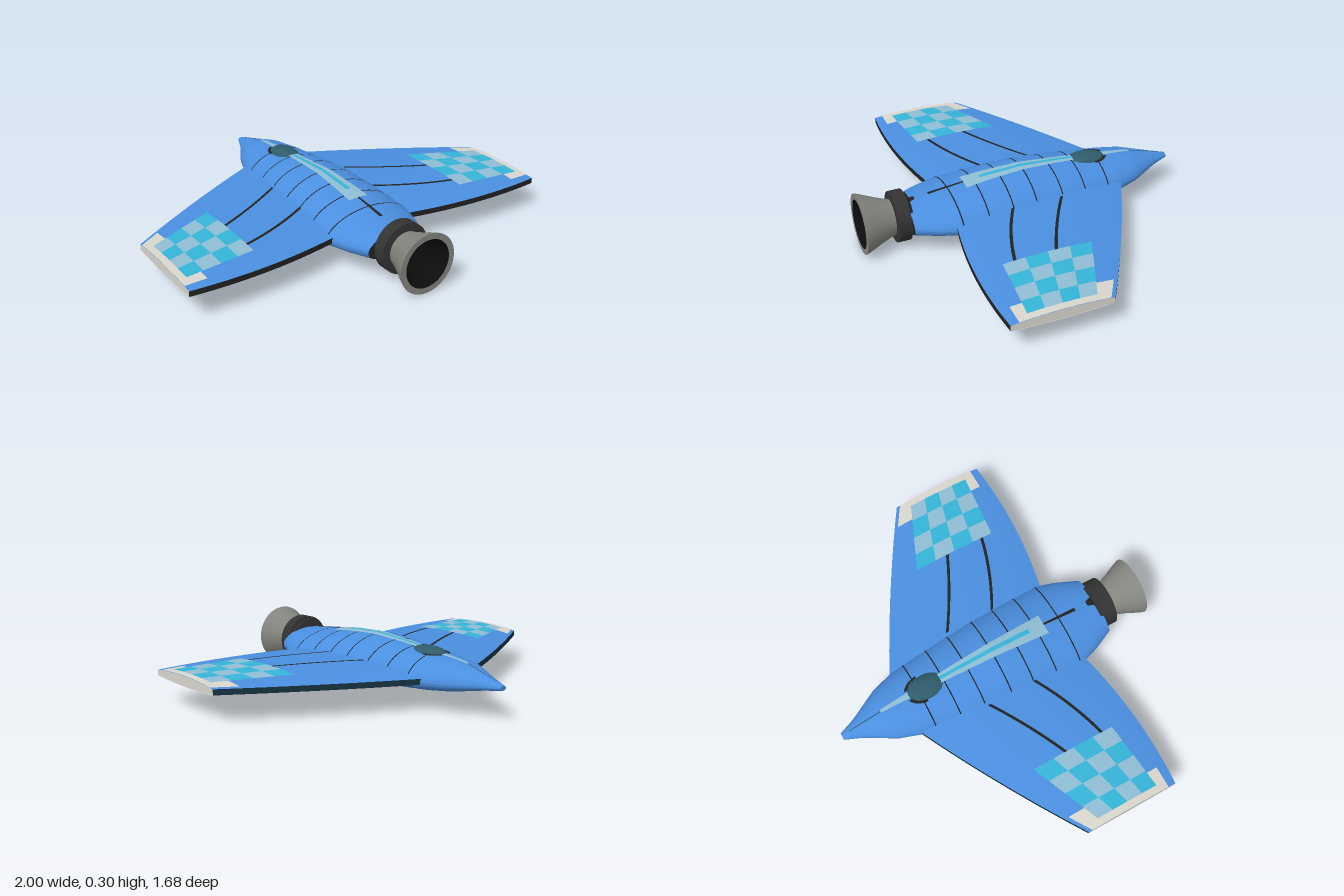
import * as THREE from 'three';

const { lerp, clamp } = THREE.MathUtils;
const BLUE = 0x4a8fe0, CYAN = 0x35b4d8, PALE = 0x8fbdd4, WHITE = 0xd8d6cc, DARK = 0x222222, TEAL = 0x2f5b6a;

// Fuselage stations: z, half width, top, widest height, bottom
const STATIONS = [
  [-0.84, 0.018, 0.172, 0.160, 0.148], [-0.75, 0.055, 0.197, 0.158, 0.134], [-0.6, 0.14, 0.236, 0.152, 0.105],
  [-0.48, 0.18, 0.248, 0.147, 0.092], [-0.2, 0.222, 0.271, 0.142, 0.070], [0, 0.24, 0.283, 0.14, 0.062],
  [0.2, 0.246, 0.272, 0.14, 0.068], [0.4, 0.242, 0.250, 0.142, 0.080], [0.5, 0.21, 0.238, 0.146, 0.085],
  [0.61, 0.16, 0.224, 0.15, 0.092],
];

function station(z) {
  let i = 0;
  while (i < STATIONS.length - 2 && z > STATIONS[i + 1][0]) i++;
  const a = STATIONS[i], b = STATIONS[i + 1];
  const t = clamp((z - a[0]) / (b[0] - a[0]), 0, 1);
  return a.map((v, k) => lerp(v, b[k], t));
}

function hullPoint(z, angle, grow = 0) {
  const [, w, top, mid, bot] = station(z);
  const c = Math.cos(angle), s = Math.sin(angle);
  const px = s > 0 ? 1 : 0.8;
  const x = (w + grow) * Math.sign(c) * Math.abs(c) ** px;
  const y = s > 0 ? mid + (top - mid + grow) * s ** 1.15 : mid - (mid - bot + grow) * Math.abs(s) ** 0.8;
  return [x, y, z];
}

function hullY(x, z, side, lift) {
  const [, w, top, mid, bot] = station(z);
  const c = Math.min(1, Math.abs(x) / w) ** (side > 0 ? 1 : 1.25);
  const s = Math.sqrt(1 - c * c);
  return side > 0 ? mid + (top - mid) * s ** 1.15 + lift : mid - (mid - bot) * s ** 0.8 - lift;
}

// Wing outline and airfoil
const span = x => (x - 0.18) / 0.82;
const leading = x => lerp(-0.485, -0.02, span(x)) - 0.06 * span(x) * (1 - span(x));
const trailing = x => 0.41 + 0.2 * span(x) - 0.14 * span(x) ** 2;
function wingY(x, z, side, lift = 0) {
  const s = clamp((z - leading(x)) / (trailing(x) - leading(x)), 0, 1);
  const bulge = Math.sin(Math.PI * s);
  return side > 0 ? 0.165 + (0.034 - 0.02 * span(x)) * bulge ** 0.8 + lift : 0.137 - 0.007 * bulge - lift;
}

// Grid surface from a rule f(u, v) -> [x, y, z]
function surface(nu, nv, f) {
  const pos = [], index = [];
  for (let i = 0; i <= nu; i++) for (let j = 0; j <= nv; j++) pos.push(...f(i / nu, j / nv));
  for (let i = 0; i < nu; i++) for (let j = 0; j < nv; j++) {
    const a = i * (nv + 1) + j, b = a + nv + 1;
    index.push(a, b, a + 1, b, b + 1, a + 1);
  }
  const g = new THREE.BufferGeometry();
  g.setAttribute('position', new THREE.Float32BufferAttribute(pos, 3));
  g.setIndex(index);
  g.computeVertexNormals();
  return g;
}

const materials = {};
function add(parent, name, geometry, color) {
  materials[color] ??= new THREE.MeshStandardMaterial({ color, side: THREE.DoubleSide });
  const mesh = new THREE.Mesh(geometry, materials[color]);
  mesh.name = name;
  parent.add(mesh);
  return mesh;
}

// Strip hugging the fuselage between z0 and z1
function hullStrip(parent, name, z0, z1, w0, w1, cx, side, lift, color) {
  add(parent, name, surface(40, 6, (u, v) => {
    const z = lerp(z0, z1, u), x = cx + (v * 2 - 1) * lerp(w0, w1, u);
    return [x, hullY(x, z, side, lift), z];
  }), color);
}

// Patch hugging the wing between two edge rules
function wingPatch(parent, name, x0, x1, front, back, side, lift, color) {
  add(parent, name, surface(10, 8, (u, v) => {
    const x = lerp(x0, x1, u), z = lerp(front(x), back(x), v);
    return [x, wingY(x, z, side, lift), z];
  }), color);
}

function buildWing() {
  const wing = new THREE.Group();
  wing.name = 'wing';
  const wx = u => lerp(0.1, 1, u);
  for (const side of [1, -1]) {
    add(wing, side > 0 ? 'wingTop' : 'wingUnderside', surface(24, 24, (u, v) => {
      const x = wx(u), z = lerp(leading(x), trailing(x), v);
      return [x, wingY(x, z, side), z];
    }), BLUE);

    // Tip trim and checkerboard
    const front = x => -0.1 + 0.42 * (x - 0.61), back = x => 0.345 + 0.1 * (x - 0.61);
    wingPatch(wing, 'tipTrim', 0.89, 1, x => leading(x) + 0.02, () => 0.43, side, 0.002, WHITE);
    const columns = [0.61, 0.695, 0.785, 0.88, 0.965];
    for (let c = 0; c < 4; c++) for (let r = 0; r < 4; r++) {
      const row = k => x => lerp(front(x), back(x), k / 4);
      wingPatch(wing, 'checker', columns[c], columns[c + 1], row(r), row(r + 1), side, 0.004, (c + r) % 2 ? PALE : CYAN);
    }

    // Dark panel seams
    for (const [a, b, bow] of [[-0.13, 0.08, 0.01], [0.13, 0.285, 0.015]]) {
      const path = x => { const t = (x - 0.22) / 0.39; return lerp(a, b, t) + bow * 4 * t * (1 - t); };
      wingPatch(wing, 'panelSeam', 0.22, 0.61, x => path(x) - 0.008, x => path(x) + 0.008, side, 0.003, DARK);
    }
  }
  // Blunt edges and tip
  const edge = (name, rule, color) => add(wing, name, surface(24, 1, (u, v) => {
    const x = wx(u), z = rule(x);
    return [x, wingY(x, z, v ? 1 : -1), z];
  }), color);
  edge('leadingEdge', leading, 0x16323e);
  edge('trailingEdge', trailing, DARK);
  add(wing, 'wingTip', surface(20, 1, (u, v) => {
    const z = lerp(leading(1), trailing(1), u);
    return [1, wingY(1, z, v ? 1 : -1), z];
  }), WHITE);
  return wing;
}

function lathe(points) {
  return new THREE.LatheGeometry(points.map(p => new THREE.Vector2(...p)), 40).rotateX(Math.PI / 2).translate(0, 0.153, 0);
}

export function createModel() {
  const model = new THREE.Group();
  model.name = 'jet';

  // Fuselage with end caps
  add(model, 'fuselage', surface(60, 48, (u, v) => hullPoint(lerp(-0.84, 0.61, u), v * Math.PI * 2)), BLUE);
  for (const z of [-0.84, 0.61]) {
    add(model, 'fuselageCap', surface(1, 48, (u, v) => {
      const [x, y] = hullPoint(z, v * Math.PI * 2);
      return [x * u, lerp(station(z)[3], y, u), z];
    }), z < 0 ? BLUE : DARK);
  }

  // Panel rings
  for (const z of [-0.41, -0.275, -0.145, 0, 0.125, 0.255, 0.39]) {
    add(model, 'panelRing', surface(1, 48, (u, v) => hullPoint(z + (u - 0.5) * 0.006, v * Math.PI * 2, 0.0015)), DARK);
  }

  // Spine stripes
  hullStrip(model, 'spineStripe', -0.62, 0.305, 0.008, 0.054, 0, 1, 0.004, PALE);
  hullStrip(model, 'spineInlay', -0.29, 0.22, 0.008, 0.012, 0, 1, 0.006, CYAN);
  hullStrip(model, 'noseSeam', -0.8, -0.62, 0.002, 0.003, 0, 1, 0.003, TEAL);
  hullStrip(model, 'tailSlot', 0.305, 0.49, 0.005, 0.009, 0, 1, 0.004, DARK);
  hullStrip(model, 'tailVent', 0.56, 0.605, 0.012, 0.028, 0, 1, 0.005, DARK);

  // Belly slots and vents
  for (const s of [-1, 1]) {
    hullStrip(model, 'bellySlot', 0.02, 0.4, 0.014, 0.014, s * 0.06, -1, 0.003, DARK);
    hullStrip(model, 'bellyVent', 0.5, 0.54, 0.012, 0.012, s * 0.04, -1, 0.003, DARK);
  }

  // Canopy and its frame
  add(model, 'canopy', new THREE.SphereGeometry(1, 32, 20).scale(0.066, 0.035, 0.11).translate(0, 0.242, -0.36), TEAL);
  for (const s of [-1, 1]) {
    add(model, 'canopyFrame', surface(12, 3, (u, v) => {
      const a = lerp(0.1, 1.2, u), r = lerp(0.062, 0.074, v);
      const x = s * r * Math.cos(a), z = -0.38 - 1.35 * r * Math.sin(a);
      return [x, hullY(x, z, 1, 0.005), z];
    }), DARK);
  }

  // Wings
  const left = buildWing(), right = left.clone();
  left.name = 'leftWing';
  right.name = 'rightWing';
  right.scale.x = -1;
  model.add(left, right);

  // Engine collar, bell and dark interior
  add(model, 'engineCollar', lathe([[0, 0.595], [0.107, 0.595], [0.107, 0.612], [0.128, 0.612], [0.128, 0.612], [0.128, 0.675],
    [0.128, 0.675], [0.085, 0.68]]), 0x333333);
  add(model, 'nozzleBell', lathe([[0.088, 0.67], [0.096, 0.7], [0.115, 0.75], [0.135, 0.795], [0.15, 0.832], [0.152, 0.84]]), 0x85857f);
  add(model, 'nozzleRim', lathe([[0.152, 0.84], [0.122, 0.84]]), 0x85857f);
  add(model, 'nozzleInterior', lathe([[0.122, 0.84], [0.1, 0.78], [0.07, 0.7], [0, 0.7]]), 0x0c0c0c);
  return model;
}
